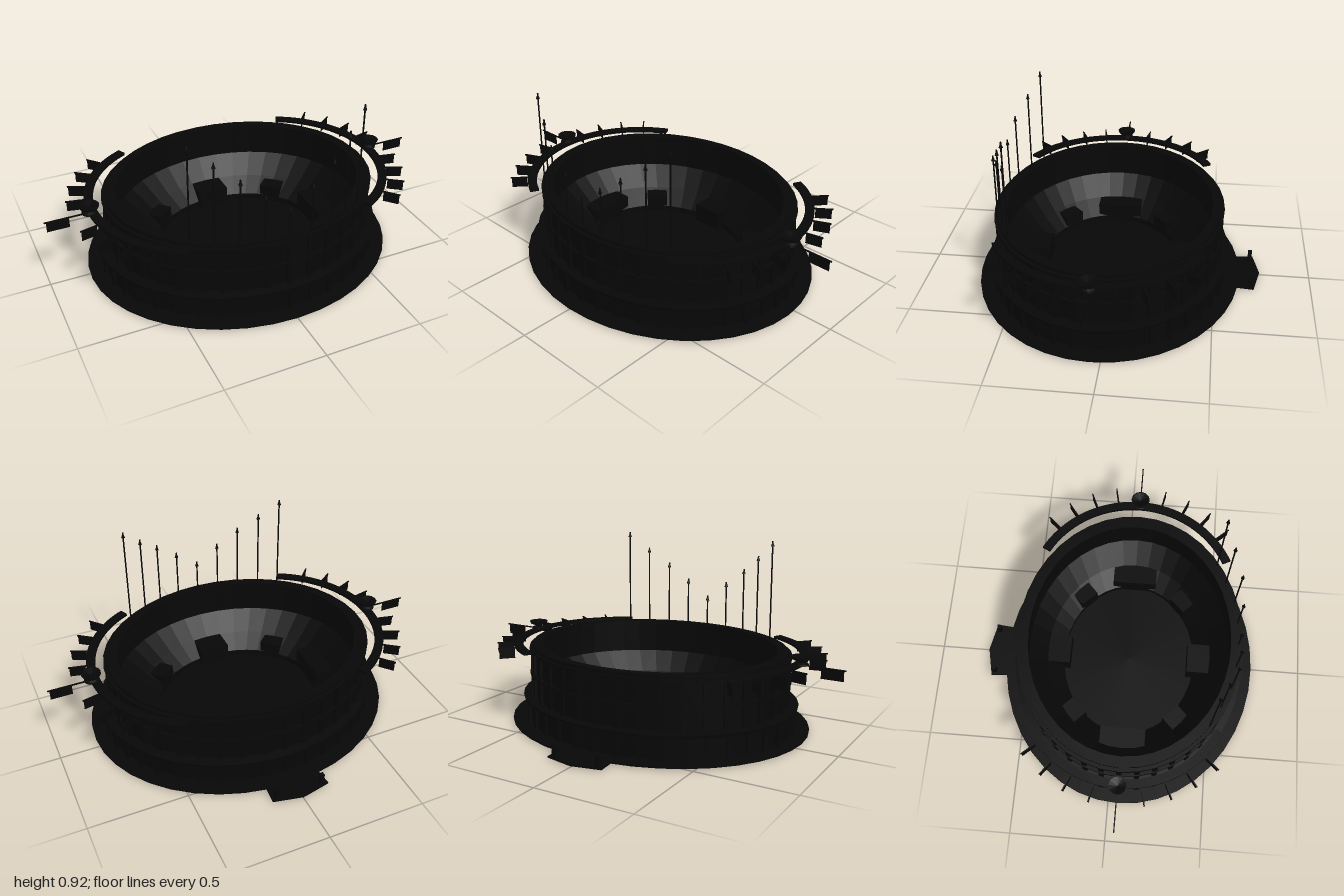
import * as THREE from 'three';

const dark = new THREE.MeshStandardMaterial({ color: 0x070707, flatShading: true, side: THREE.DoubleSide });
const BAYS = 40, RATIO = 0.835, CENTER_Z = 0.05;

function add(parent, name, geometry, x = 0, y = 0, z = 0, turn = 0) {
  const mesh = new THREE.Mesh(geometry, dark);
  mesh.name = name;
  mesh.position.set(x, y, z);
  mesh.rotation.y = turn;
  parent.add(mesh);
  return mesh;
}

// Oval ring or disc turned from a [radius, height] profile
function oval(parent, name, profile, ratio = RATIO) {
  const points = profile.map(([r, y]) => new THREE.Vector2(r, y));
  return add(parent, name, new THREE.LatheGeometry(points, BAYS).scale(1, 1, ratio));
}

// Closed ring with a rectangular section
function band(parent, name, inner, outer, low, high, ratio) {
  return oval(parent, name, [[outer, low], [outer, high], [inner, high], [inner, low], [outer, low]], ratio);
}

// Calls place(x, z, turn) around the oval, with local +x facing outward
function around(count, radius, place) {
  for (let i = 0; i < count; i++) {
    const a = (i / count) * Math.PI * 2;
    const c = Math.cos(a), s = Math.sin(a);
    place(radius * c, radius * RATIO * s, -Math.atan2(s, c * RATIO));
  }
}

function buildWalls(parent) {
  band(parent, 'basePlate', 0.63, 0.8, 0.006, 0.014, 0.855);
  band(parent, 'lowerWall', 0.66, 0.718, 0.012, 0.125);
  oval(parent, 'lowerCornice', [[0.718, 0.115], [0.74, 0.122], [0.744, 0.138], [0.68, 0.142]]);
  band(parent, 'upperWall', 0.64, 0.686, 0.12, 0.4);
  band(parent, 'middleCornice', 0.67, 0.704, 0.25, 0.264);
  band(parent, 'topCornice', 0.67, 0.704, 0.376, 0.39);
  band(parent, 'rim', 0.63, 0.685, 0.39, 0.407);

  // Pilasters on the three storeys
  const storeys = [[0.72, 0.012, 0.12], [0.686, 0.138, 0.252], [0.686, 0.264, 0.378]];
  for (const [radius, low, high] of storeys) {
    const shaft = new THREE.BoxGeometry(0.024, high - low, 0.026);
    const capital = new THREE.BoxGeometry(0.03, 0.01, 0.036);
    around(BAYS, radius, (x, z, turn) => {
      add(parent, 'pilaster', shaft, x, (low + high) / 2, z, turn);
      add(parent, 'capital', capital, x, high - 0.005, z, turn);
    });
  }
}

function buildInterior(parent) {
  oval(parent, 'arenaFloor', [[0, 0.03], [0.43, 0.03]]);
  oval(parent, 'seating', [[0.43, 0.03], [0.43, 0.06], [0.53, 0.13], [0.64, 0.23]]);

  // Gateways between arena and stands
  for (const sign of [-1, 1]) {
    add(parent, 'sideGateway', new THREE.BoxGeometry(0.22, 0.13, 0.24), sign * 0.53, 0.065, 0);
    add(parent, 'endGateway', new THREE.BoxGeometry(0.16, 0.13, 0.2), 0, 0.065, sign * 0.42);
    for (const end of [-1, 1]) {
      add(parent, 'cornerGateway', new THREE.BoxGeometry(0.16, 0.1, 0.11),
        sign * 0.365, 0.07, end * 0.3, -sign * end * 0.78);
    }
  }
}

// Curved balcony with a fire bowl and flags
function buildBalcony(parent, turn) {
  const side = new THREE.Group();
  side.name = 'balcony';
  side.rotation.y = turn;
  parent.add(side);

  const cx = 0.222, spread = 1.11;
  const shape = new THREE.Shape();
  shape.absarc(cx, 0, 0.565, -spread, spread, false);
  shape.absarc(cx, 0, 0.52, spread, -spread, true);
  const walk = new THREE.ExtrudeGeometry(shape, { depth: 0.014, bevelEnabled: false, curveSegments: 20 });
  add(side, 'walkway', walk.rotateX(Math.PI / 2), 0, 0.406, 0);

  const bowl = [[0, 0.4], [0.038, 0.4], [0.036, 0.408], [0.018, 0.415], [0.022, 0.42],
    [0.045, 0.43], [0.05, 0.443], [0.044, 0.443], [0, 0.432]].map(([r, y]) => new THREE.Vector2(r, y));
  add(side, 'fireBowl', new THREE.LatheGeometry(bowl, 12), 0.78, 0, 0);

  // Flags fan out radially, the middle one on a longer pole
  for (let i = -4; i <= 4; i++) {
    const angle = i * 0.211;
    const length = i === 0 ? 0.233 : 0.11;
    const flag = new THREE.Group();
    flag.name = 'flag';
    flag.position.set(cx + 0.545 * Math.cos(angle), 0.4, 0.545 * Math.sin(angle));
    flag.rotation.y = -angle;
    side.add(flag);
    add(flag, 'flagPole', new THREE.BoxGeometry(length, 0.006, 0.006), length / 2);
    add(flag, 'flagCloth', new THREE.BoxGeometry(i === 0 ? 0.11 : 0.08, 0.05, 0.003),
      length - (i === 0 ? 0.065 : 0.045), -0.028);
  }
}

// Tall masts along the front rim, highest at the ends
function buildMasts(parent) {
  const masts = [[0, 0.57, 0.563], [0.12, 0.66, 0.555], [0.235, 0.745, 0.535], [0.34, 0.83, 0.485], [0.44, 0.92, 0.435]];
  for (const [x, top, z] of masts) {
    for (const sign of x ? [-1, 1] : [1]) {
      const height = top - 0.39;
      add(parent, 'mast', new THREE.CylinderGeometry(0.004, 0.004, height, 6), x * sign, 0.39 + height / 2, z);
      add(parent, 'mastTip', new THREE.ConeGeometry(0.01, 0.03, 6), x * sign, top - 0.013, z);
    }
  }
}

// Rear platform with two pedestals
function buildEntrance(parent) {
  const outline = new THREE.Shape();
  [[-0.135, 0.6], [0.135, 0.6], [0.15, 0.758], [0, 0.79], [-0.15, 0.758]]
    .forEach(([x, y], i) => (i ? outline.lineTo(x, y) : outline.moveTo(x, y)));
  const slab = new THREE.ExtrudeGeometry(outline, { depth: 0.008, bevelEnabled: false });
  add(parent, 'entrancePlatform', slab.rotateX(-Math.PI / 2), 0, 0.006, 0);
  for (const x of [-0.12, 0.12]) {
    add(parent, 'pedestal', new THREE.CylinderGeometry(0.012, 0.018, 0.046, 4, 1, false, Math.PI / 4), x, 0.035, -0.742);
    add(parent, 'pedestalCap', new THREE.BoxGeometry(0.022, 0.01, 0.022), x, 0.062, -0.742);
  }
}

export function createModel() {
  const model = new THREE.Group();
  model.name = 'amphitheatre';
  const body = new THREE.Group();
  body.name = 'arena';
  body.position.z = CENTER_Z;
  model.add(body);
  buildWalls(body);
  buildInterior(body);
  buildBalcony(body, 0);
  buildBalcony(body, Math.PI);
  buildMasts(body);
  buildEntrance(body);
  return model;
}
